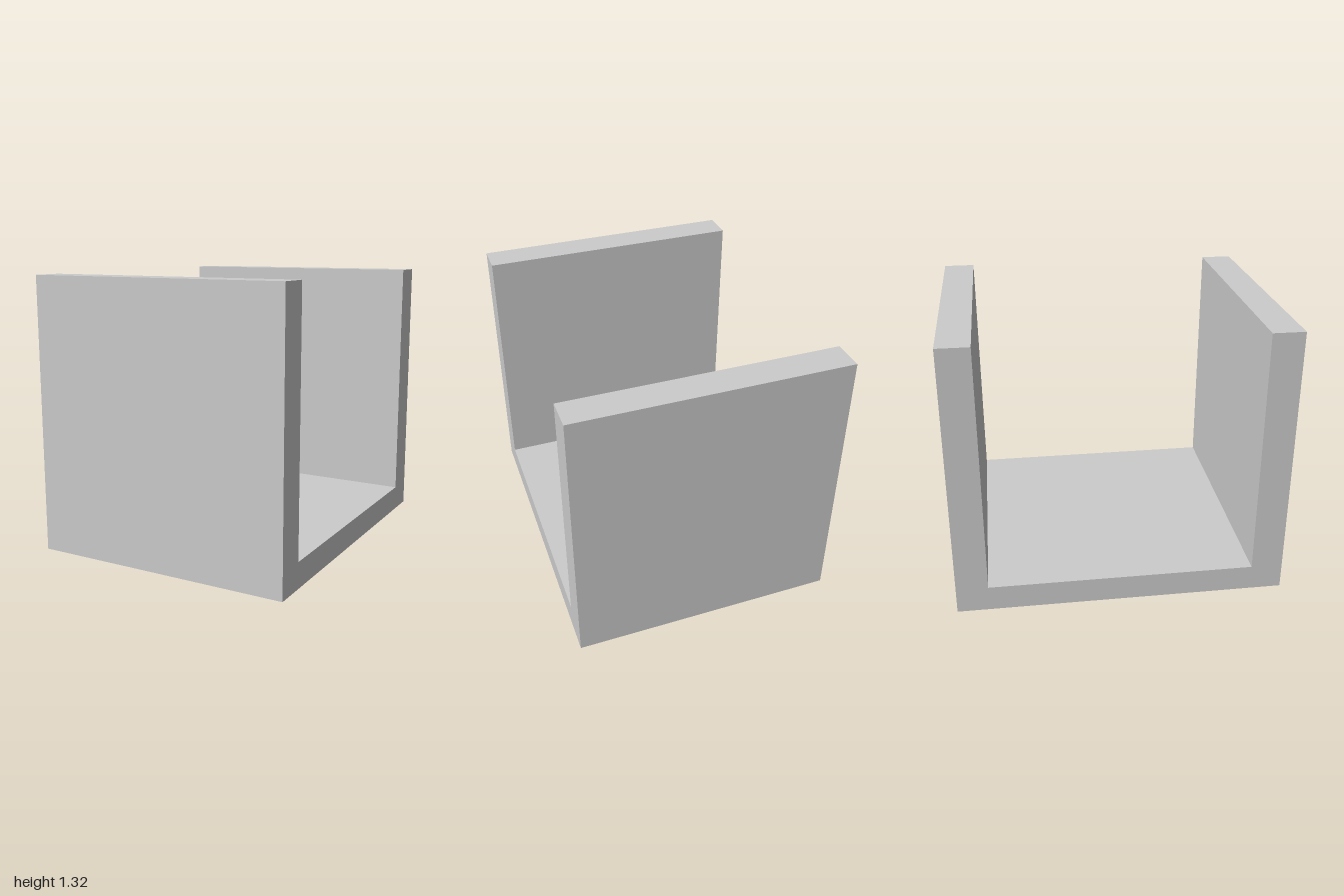
import * as THREE from 'three';

export function createModel() {
  const group = new THREE.Group();
  const width = 1.563, depth = 1.266, height = 1.315, wall = 0.15, floor = 0.123;
  const w = width / 2, i = w - wall;

  // U-shaped section: a floor with an upright wall on each side
  const section = new THREE.Shape([
    [-w, 0], [w, 0], [w, height], [i, height],
    [i, floor], [-i, floor], [-i, height], [-w, height],
  ].map(([x, y]) => new THREE.Vector2(x, y)));

  const geometry = new THREE.ExtrudeGeometry(section, { depth, bevelEnabled: false });
  geometry.translate(0, 0, -depth / 2);

  const channel = new THREE.Mesh(geometry, new THREE.MeshStandardMaterial({ color: 0xcccccc, flatShading: true }));
  channel.name = 'channelBracket';
  // The channel stands diagonally, open towards front left and back right
  channel.rotation.y = Math.PI / 4;
  group.add(channel);
  return group;
}
